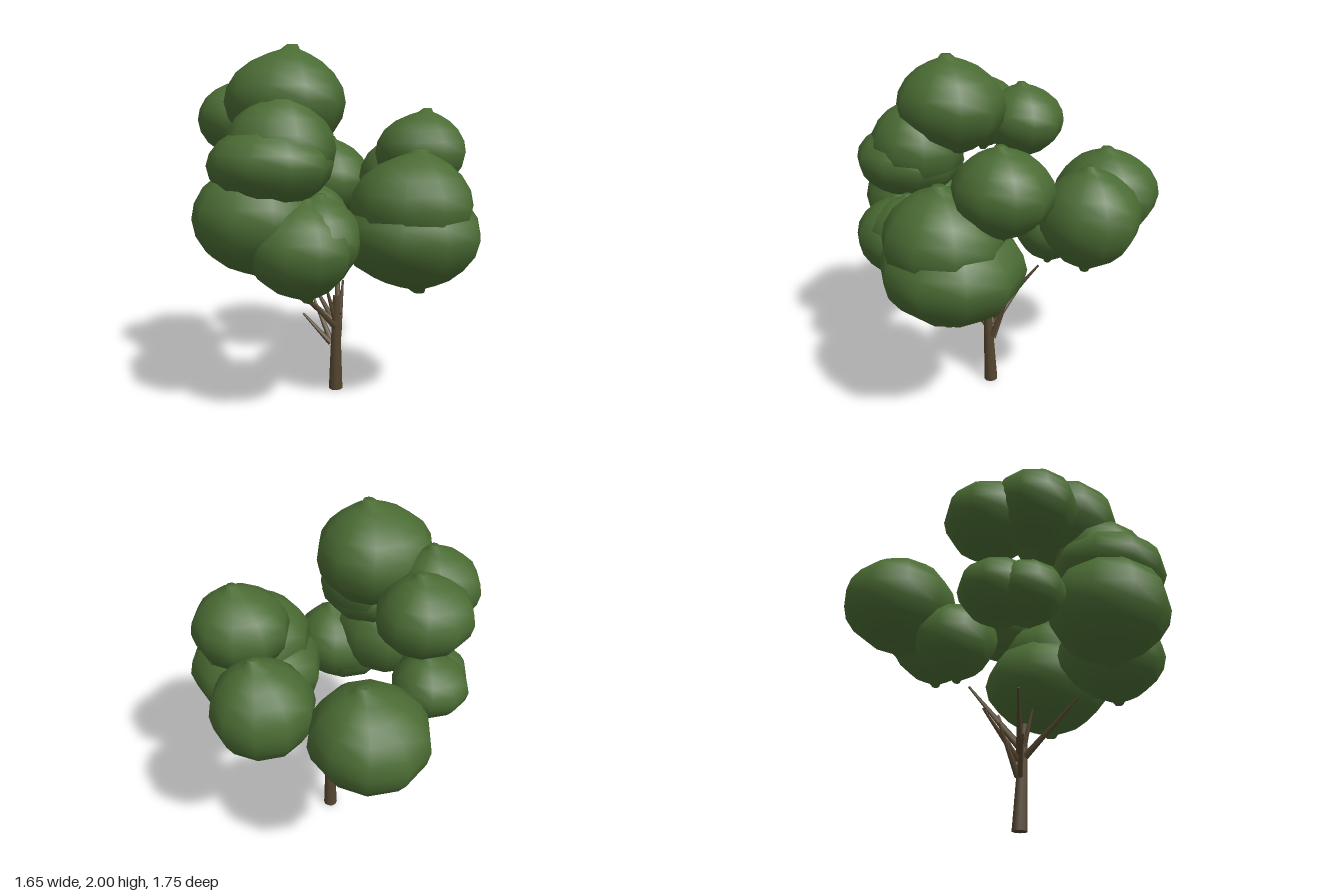
import * as THREE from 'three';

// Half outline of a leaf clump, from the lower point to the upper point
const CLUMP = [
  [0, -0.97], [0.08, -1], [0.14, -0.92], [0.3, -0.86], [0.55, -0.74], [0.78, -0.54],
  [0.94, -0.28], [1, 0], [0.95, 0.26], [0.8, 0.52], [0.58, 0.72], [0.34, 0.85],
  [0.16, 0.92], [0.09, 1], [0, 0.97],
].map(([r, y]) => new THREE.Vector2(r, y));

// Clumps: centre x, y, z, radius, half height
const CLUMPS = [
  // crown
  [-0.185, 1.7, 0.31, 0.325, 0.3],
  // left-hand side seen from the front
  [-0.55, 1.605, 0.25, 0.235, 0.235],
  [-0.56, 1.57, 0.0, 0.255, 0.235],
  [-0.61, 1.09, 0.08, 0.215, 0.19],
  [-0.59, 1.07, 0.22, 0.2, 0.18],
  [-0.37, 0.98, -0.26, 0.225, 0.23],
  // back
  [-0.475, 1.2, -0.565, 0.31, 0.29],
  [0.07, 1.24, -0.61, 0.27, 0.29],
  // right-hand side
  [0.365, 1.42, -0.24, 0.265, 0.25],
  [0.45, 1.15, 0.05, 0.335, 0.31],
  [0.425, 0.99, 0.015, 0.39, 0.32],
  // front
  [-0.1, 1.46, 0.49, 0.285, 0.3],
  [-0.12, 1.38, 0.55, 0.325, 0.24],
  [-0.22, 1.1, 0.555, 0.335, 0.32],
  [0.045, 0.95, 0.525, 0.285, 0.27],
  [0.08, 0.99, 0.45, 0.255, 0.25],
];

// Branches: start, end, base radius
const BRANCHES = [
  [[-0.05, 0.38, 0.01], [-0.09, 0.68, 0.34], 0.022],
  [[-0.06, 0.4, 0], [-0.37, 0.66, 0.1], 0.022],
  [[-0.05, 0.46, -0.01], [-0.2, 0.78, -0.25], 0.022],
  [[-0.09, 0.28, 0], [-0.25, 0.53, -0.05], 0.02],
  [[-0.09, 0.28, 0.01], [-0.24, 0.46, 0.08], 0.018],
  [[-0.06, 0.38, -0.01], [-0.3, 0.6, -0.12], 0.02],
  [[-0.05, 0.32, -0.01], [-0.08, 0.64, -0.12], 0.02],
  [[-0.05, 0.4, 0.01], [-0.08, 0.65, 0.08], 0.018],
];

// Tapered rod between two points
function rod(from, to, r0, r1, sides, material) {
  const a = new THREE.Vector3(...from), b = new THREE.Vector3(...to);
  const dir = b.clone().sub(a);
  const mesh = new THREE.Mesh(new THREE.CylinderGeometry(r1, r0, dir.length(), sides), material);
  mesh.position.copy(a).add(b).multiplyScalar(0.5);
  mesh.quaternion.setFromUnitVectors(new THREE.Vector3(0, 1, 0), dir.normalize());
  return mesh;
}

// Ten-sided clump with gently uneven sides, its points leaning to +x
function clumpGeometry(seed) {
  const geo = new THREE.LatheGeometry(CLUMP, 10, Math.PI / 2);
  const p = geo.attributes.position;
  for (let i = 0; i < p.count; i++) {
    const x = p.getX(i), y = p.getY(i), z = p.getZ(i);
    const s = 1 + 0.02 * Math.sin(3 * x + seed) * Math.cos(2 * z + 2 * y + seed * 1.7);
    const lean = 0.14 * (Math.max(0, Math.abs(y) - 0.5) / 0.5) ** 2;
    p.setXYZ(i, x * s + lean, y, z * s);
  }
  geo.computeVertexNormals();
  // Match the normals across the lathe seam
  const n = geo.attributes.normal, rows = CLUMP.length, last = 10 * rows;
  for (let j = 0; j < rows; j++) {
    const v = new THREE.Vector3().fromBufferAttribute(n, j)
      .add(new THREE.Vector3().fromBufferAttribute(n, last + j)).normalize();
    n.setXYZ(j, v.x, v.y, v.z);
    n.setXYZ(last + j, v.x, v.y, v.z);
  }
  return geo;
}

export function createModel() {
  const model = new THREE.Group();
  model.name = 'tree';
  const bark = new THREE.MeshStandardMaterial({ color: 0x54452f });
  const leaf = new THREE.MeshStandardMaterial({ color: 0x4a6b33 });

  const trunk = rod([-0.062, 0, 0], [-0.045, 0.58, 0.02], 0.042, 0.02, 10, bark);
  trunk.name = 'trunk';
  model.add(trunk);

  const branches = new THREE.Group();
  branches.name = 'branches';
  BRANCHES.forEach(([from, to, r], i) => {
    const branch = rod(from, to, r, 0.006, 6, bark);
    branch.name = `branch${i + 1}`;
    branches.add(branch);
  });
  model.add(branches);

  const foliage = new THREE.Group();
  foliage.name = 'foliage';
  CLUMPS.forEach(([x, y, z, r, h], i) => {
    const clump = new THREE.Mesh(clumpGeometry(i + 1), leaf);
    clump.name = `leafClump${i + 1}`;
    clump.position.set(x, y, z);
    clump.scale.set(r, h, r);
    foliage.add(clump);
  });
  model.add(foliage);
  return model;
}
